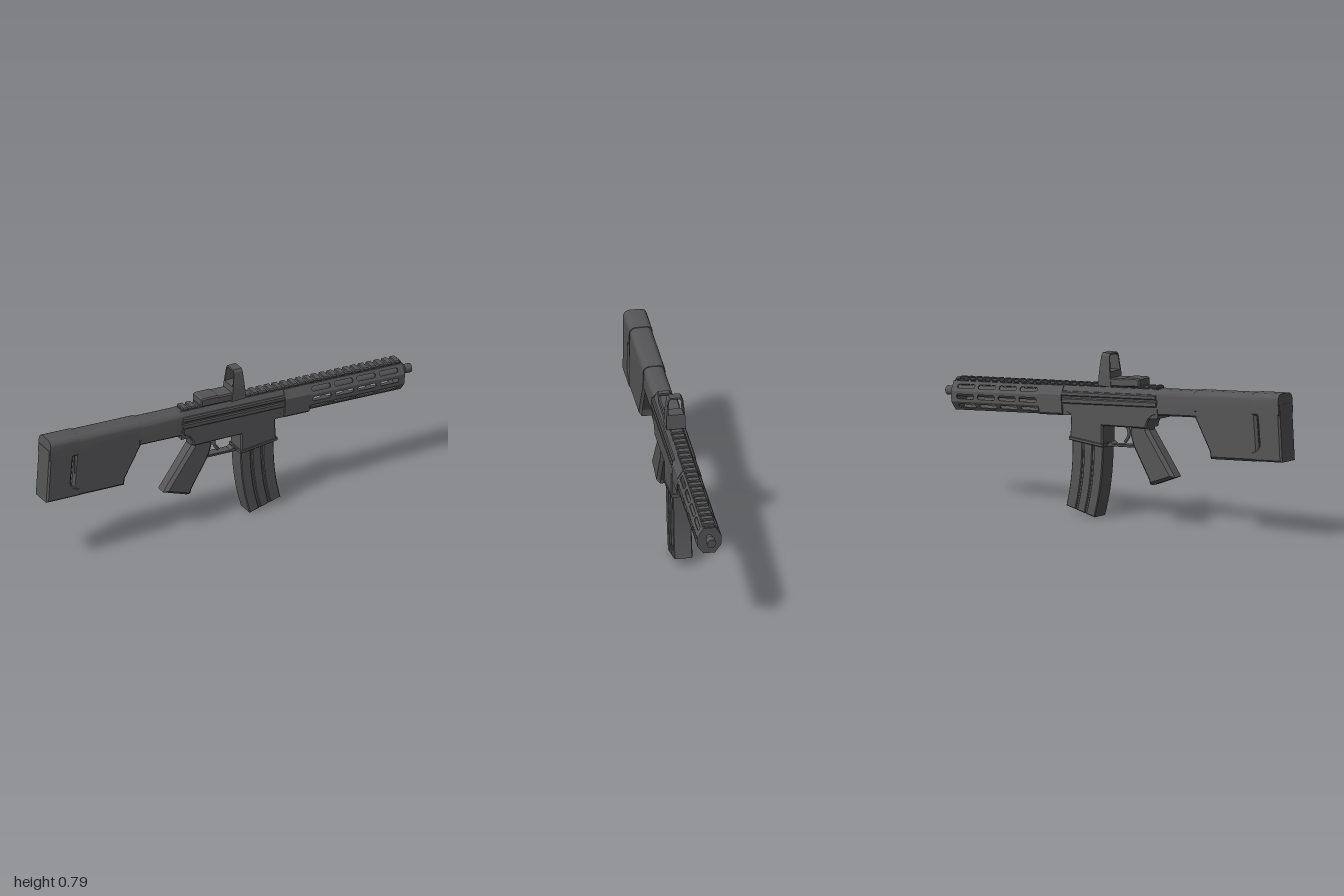
import * as THREE from 'three';
import { toCreasedNormals } from 'three/addons/utils/BufferGeometryUtils.js';

const TILT = -0.067;
const lineY = (x) => 0.63 + TILT * x; // sloping top line shared by stock, receiver and rail

export function createModel() {
  const model = new THREE.Group();
  model.name = 'propRifle';
  const body = new THREE.MeshStandardMaterial({ color: 0x555557 });
  body.name = 'gunmetal grey';

  const add = (name, geo, parent = model) => {
    const mesh = new THREE.Mesh(geo, body);
    mesh.name = name;
    parent.add(mesh);
    return mesh;
  };
  const group = (name) => {
    const g = new THREE.Group();
    g.name = name;
    model.add(g);
    return g;
  };
  const toShape = (pts) => new THREE.Shape(pts.map(([x, y]) => new THREE.Vector2(x, y)));

  // Side outline extruded across z, half width w, chamfer b
  const slab = (shape, w, b = 0.006, z = 0) => {
    const geo = new THREE.ExtrudeGeometry(shape, {
      depth: 2 * (w - b), bevelEnabled: b > 0, bevelThickness: b, bevelSize: b,
      bevelOffset: -b, bevelSegments: 1, curveSegments: 8,
    });
    geo.translate(0, 0, z - w + b);
    return geo;
  };
  // Half section [z, dy] from bottom to top, mirrored into a closed loop
  const mirror = (half) => [...half, ...half.slice().reverse().map(([z, y]) => [-z, y])];
  // Section extruded along the sloping line from x0 to x1
  const beam = (half, x0, x1) => {
    const geo = new THREE.ExtrudeGeometry(toShape(mirror(half)), { depth: x1 - x0, bevelEnabled: false });
    geo.rotateY(Math.PI / 2);
    geo.rotateZ(TILT);
    geo.translate(x0, lineY(x0), 0);
    return toCreasedNormals(geo, 0.5);
  };
  const rounded = (w, top, bottom, r) => {
    const pts = [[w - 0.008, bottom], [w, bottom + 0.008]];
    for (let i = 0; i <= 5; i++) {
      const a = (i / 5) * Math.PI / 2;
      pts.push([w - r + r * Math.cos(a), top - r + r * Math.sin(a)]);
    }
    return pts;
  };
  const rod = (name, r, x0, x1, dy, parent) => {
    const geo = new THREE.CylinderGeometry(r, r, x1 - x0, 20);
    geo.rotateZ(Math.PI / 2 + TILT);
    const mid = (x0 + x1) / 2;
    geo.translate(mid, lineY(mid) + dy, 0);
    add(name, geo, parent);
  };

  // Stock: rounded comb, open frame, butt pad
  const stock = group('stock');
  add('stockComb', beam(rounded(0.053, 0.001, -0.1, 0.03), -0.83, -0.48), stock);
  const frame = toShape([[-0.84, 0.64], [-0.86, 0.405], [-0.84, 0.366], [-0.575, 0.35], [-0.57, 0.385], [-0.485, 0.535], [-0.485, 0.63]]);
  const frameHole = new THREE.Path();
  frameHole.moveTo(-0.838, 0.6);
  frameHole.lineTo(-0.59, 0.582);
  frameHole.quadraticCurveTo(-0.565, 0.58, -0.578, 0.555);
  frameHole.lineTo(-0.635, 0.45);
  frameHole.quadraticCurveTo(-0.65, 0.418, -0.685, 0.418);
  frameHole.lineTo(-0.838, 0.426);
  frame.holes.push(frameHole);
  add('stockFrame', slab(frame, 0.053, 0.012), stock);
  add('buttComb', beam(rounded(0.056, 0.004, -0.1, 0.03), -0.978, -0.82), stock);
  const butt = toShape([[-0.983, 0.65], [-1.0, 0.378], [-0.82, 0.368], [-0.82, 0.412]]);
  butt.quadraticCurveTo(-0.872, 0.425, -0.867, 0.46);
  butt.lineTo(-0.857, 0.575);
  butt.quadraticCurveTo(-0.855, 0.602, -0.82, 0.598);
  butt.lineTo(-0.82, 0.64);
  add('buttPad', slab(butt, 0.056, 0.008), stock);
  // Chamfered sole under the stock
  add('stockSole', slab(toShape([[-1.0, 0.378], [-0.998, 0.408], [-0.572, 0.382], [-0.573, 0.35]]), 0.053, 0.02), stock);
  add('bufferTube', beam(rounded(0.049, -0.002, -0.124, 0.03), -0.49, -0.25));

  // Receiver
  const receiver = group('receiver');
  add('upperReceiver', beam([[0.05, -0.14], [0.052, -0.04], [0.03, -0.002]], -0.26, 0.295), receiver);
  for (const [top, bottom] of [[-0.026, -0.05], [-0.058, -0.085]]) {
    add('receiverRidge', beam([[0.053, bottom], [0.057, bottom + 0.005], [0.057, top - 0.005], [0.051, top]], -0.258, 0.293), receiver);
  }
  const lower = toShape([[-0.26, 0.57], [-0.26, 0.525]]);
  lower.quadraticCurveTo(-0.21, 0.515, -0.2, 0.455);
  for (const [x, y] of [[0.055, 0.442], [0.055, 0.345], [0.245, 0.36], [0.24, 0.475], [0.268, 0.485], [0.275, 0.508], [0.295, 0.508], [0.295, 0.53]]) lower.lineTo(x, y);
  add('lowerReceiver', slab(lower, 0.052), receiver);
  add('magazineWellRim', slab(toShape([[0.05, 0.34], [0.25, 0.357], [0.25, 0.374], [0.05, 0.357]]), 0.055, 0.003), receiver);

  // Curved magazine: recessed core with three raised ribs
  const magazine = group('magazine');
  const back = new THREE.QuadraticBezierCurve(new THREE.Vector2(0.057, 0.36), new THREE.Vector2(0.055, 0.17), new THREE.Vector2(0.107, 0.001));
  const front = new THREE.QuadraticBezierCurve(new THREE.Vector2(0.237, 0.37), new THREE.Vector2(0.232, 0.19), new THREE.Vector2(0.273, 0.041));
  const magStrip = (f0, f1) => {
    const edge = (f) => Array.from({ length: 11 }, (_, i) => back.getPoint(i / 10).lerp(front.getPoint(i / 10), f));
    return new THREE.Shape([...edge(f0), ...edge(f1).reverse()]);
  };
  add('magazineCore', slab(magStrip(0.01, 0.99), 0.038, 0), magazine);
  for (const [f0, f1] of [[0, 0.3], [0.35, 0.62], [0.67, 1]]) {
    add('magazineRib', toCreasedNormals(slab(magStrip(f0, f1), 0.044, 0.004), 0.4), magazine);
  }

  // Grip, trigger and guard
  const grip = toShape([[-0.2, 0.475], [-0.2, 0.445], [-0.335, 0.26], [-0.352, 0.235], [-0.225, 0.187], [-0.205, 0.187], [-0.2, 0.208]]);
  grip.lineTo(-0.115, 0.35);
  grip.quadraticCurveTo(-0.095, 0.39, -0.088, 0.43);
  grip.lineTo(-0.1, 0.47);
  add('grip', slab(grip, 0.038, 0.015));
  add('triggerGuard', slab(toShape([[-0.115, 0.352], [0.06, 0.342], [0.06, 0.352], [0.045, 0.354], [0.03, 0.366], [0.015, 0.356], [-0.115, 0.364]]), 0.022, 0.002));
  const triggerPath = new THREE.CatmullRomCurve3([[-0.05, 0.45], [-0.064, 0.42], [-0.06, 0.395], [-0.042, 0.37]].map(([x, y]) => new THREE.Vector3(x, y, 0)));
  add('trigger', new THREE.TubeGeometry(triggerPath, 10, 0.008, 8));

  // Handguard: hollow octagon of panels, slotted on the sides and chamfers
  const handguard = group('handguard');
  const half = [[0.028, -0.142], [0.057, -0.1], [0.057, -0.05], [0.03, -0.005]];
  const loop = mirror(half);
  const gx = 0.42, length = 0.52;
  const tube = new THREE.Group();
  tube.name = 'handguardPanels';
  tube.position.set(gx, lineY(gx), 0);
  tube.rotation.z = TILT;
  handguard.add(tube);
  loop.forEach(([z0, y0], i) => {
    const [z1, y1] = loop[(i + 1) % loop.length];
    const width = Math.hypot(z1 - z0, y1 - y0);
    const panel = toShape([[0, 0], [length, 0], [length, width], [0, width]]);
    if (i !== 3 && i !== 7) {
      for (let k = 0; k < 4; k++) {
        const a = 0.025 + k * 0.122, b = a + 0.1, c = width / 2 - 0.011, d = width / 2 + 0.011, r = 0.006;
        panel.holes.push(new THREE.Path([[a + r, c], [a, c + r], [a, d - r], [a + r, d], [b - r, d], [b, d - r], [b, c + r], [b - r, c]].map(([x, y]) => new THREE.Vector2(x, y))));
      }
    }
    const geo = new THREE.ExtrudeGeometry(panel, { depth: 0.006, bevelEnabled: false });
    geo.translate(0, 0, -0.006);
    const along = new THREE.Vector3(1, 0, 0);
    const up = new THREE.Vector3(0, y1 - y0, z1 - z0).normalize();
    geo.applyMatrix4(new THREE.Matrix4().makeBasis(along, up, along.clone().cross(up)).setPosition(0, y0, z0));
    add('handguardPanel', geo, tube);
  });
  add('handguardCollar', beam([[0.05, -0.141], [0.058, -0.132], [0.058, -0.045], [0.032, -0.003]], 0.295, 0.43), handguard);
  add('handguardCap', beam(half, 0.932, 0.942), handguard);

  // Barrel and muzzle
  const barrel = group('barrel');
  rod('barrelTube', 0.027, 0.42, 0.938, -0.056, barrel);
  rod('muzzleNeck', 0.015, 0.93, 0.99, -0.056, barrel);
  rod('muzzleTip', 0.022, 0.963, 0.998, -0.056, barrel);

  // Top rail with cross teeth
  const rail = group('topRail');
  add('railBase', beam([[0.024, -0.01], [0.024, 0.003]], -0.25, 0.94), rail);
  for (let x = -0.245; x < 0.93; x += 0.0425) {
    add('railTooth', beam([[0.024, -0.006], [0.031, 0.001], [0.031, 0.006], [0.026, 0.012]], x, x + 0.024), rail);
  }

  // Reflex sight: low housing and a tapered window frame
  const sight = group('reflexSight');
  add('sightHousing', slab(toShape([[-0.155, 0.645], [-0.155, 0.682], [-0.145, 0.687], [-0.07, 0.683], [-0.055, 0.677], [0.03, 0.672], [0.075, 0.63]]), 0.043, 0.006), sight);
  const hood = toShape([[-0.046, 0.63], [0.046, 0.63], [0.044, 0.7], [0.036, 0.775], [0.027, 0.787], [-0.027, 0.787], [-0.036, 0.775], [-0.044, 0.7]]);
  hood.holes.push(new THREE.Path([[-0.037, 0.702], [0.037, 0.702], [0.031, 0.771], [0.025, 0.779], [-0.025, 0.779], [-0.031, 0.771]].map(([x, y]) => new THREE.Vector2(x, y))));
  const hoodGeo = new THREE.ExtrudeGeometry(hood, { depth: 1, bevelEnabled: false });
  hoodGeo.rotateY(Math.PI / 2);
  const p = hoodGeo.attributes.position;
  for (let i = 0; i < p.count; i++) {
    const t = (p.getY(i) - 0.63) / 0.157;
    p.setX(i, THREE.MathUtils.lerp(0.008 + 0.018 * t, 0.085 - 0.015 * t, p.getX(i)));
  }
  hoodGeo.computeVertexNormals();
  add('sightWindowFrame', hoodGeo, sight);

  return model;
}
